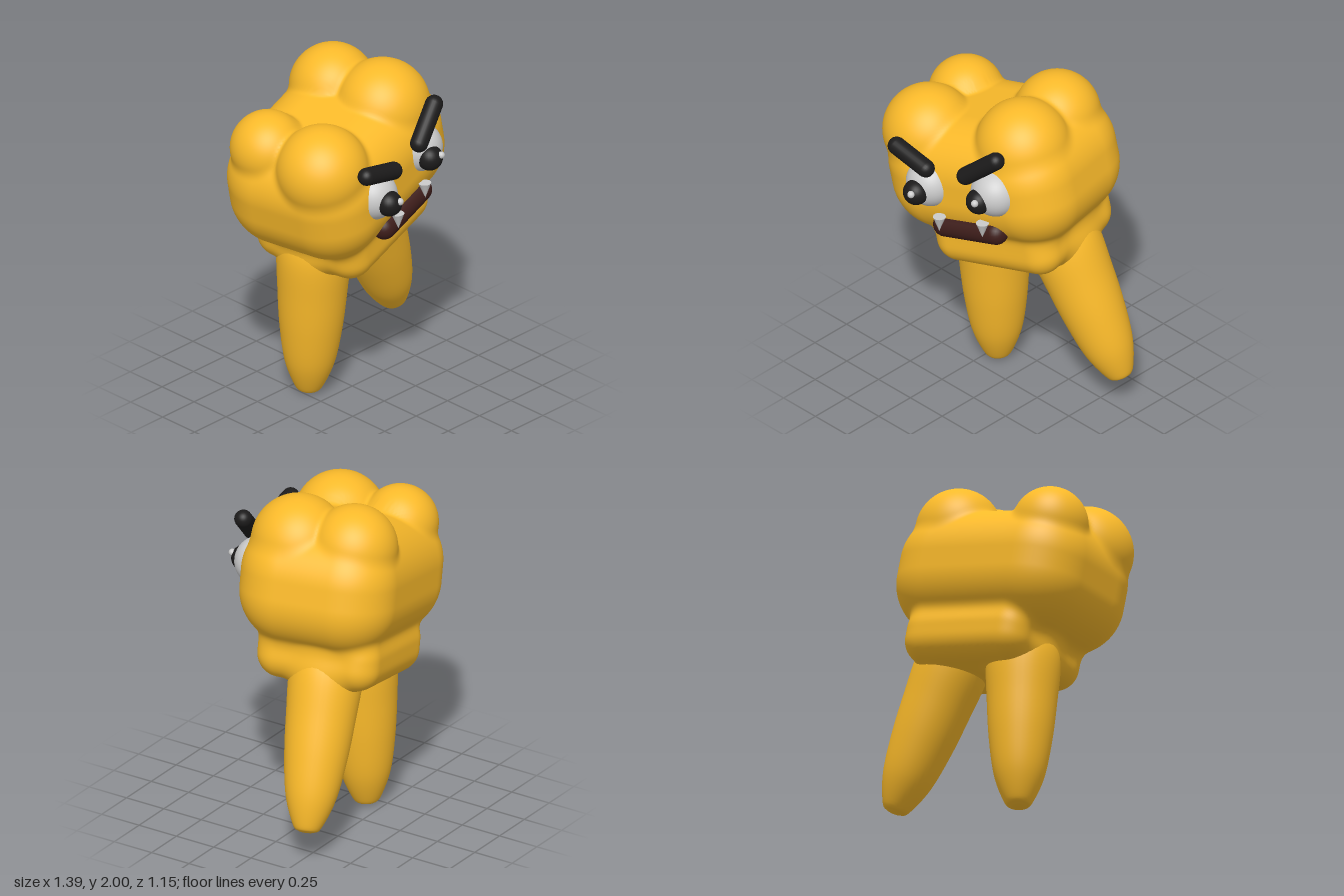
import * as THREE from 'three';
import { mergeVertices } from 'three/addons/utils/BufferGeometryUtils.js';

const V = (x, y, z) => new THREE.Vector3(x, y, z);
const mat = (color) => new THREE.MeshStandardMaterial({ color });
const yellow = mat(0xfaba2a), black = mat(0x1c1b1b), white = mat(0xcccccc), maroon = mat(0x3d1d1a);
const UP = V(0, 1, 0), ZERO = V(0, 0, 0);

// The creature leans to one side and turns a little
const TILT = new THREE.Quaternion().setFromEuler(new THREE.Euler(0, 0.18, 0.22, 'YZX'));
const UNTILT = TILT.clone().invert();

// Signed distances for the soft, fused body
const p = V(), q = V();
function roundedBox(point, center, half, r) {
  p.copy(point).sub(center).applyQuaternion(UNTILT);
  q.set(Math.abs(p.x) - half.x + r, Math.abs(p.y) - half.y + r, Math.abs(p.z) - half.z + r);
  const inside = Math.min(Math.max(q.x, q.y, q.z), 0);
  return q.max(ZERO).length() + inside - r;
}
function blend(a, b, k) {
  const h = Math.max(k - Math.abs(a - b), 0) / k;
  return Math.min(a, b) - h * h * k * 0.25;
}

const BODY = V(-0.07, 1.445, -0.06), BODY_HALF = V(0.605, 0.355, 0.46);
const GUM = V(0.03, 1.06, -0.11), GUM_HALF = V(0.41, 0.165, 0.365);
const CUSPS = [
  [V(-0.42, 1.6, 0.18), 0.262], [V(-0.485, 1.635, -0.18), 0.215],
  [V(0.19, 1.73, 0.05), 0.27], [V(0.13, 1.755, -0.28), 0.245],
];
// Leg name, tip and top
const LEGS = [
  ['rightLeg', V(-0.2, 0, -0.145), V(-0.2, 1.17, -0.09)],
  ['leftLeg', V(0.63, 0.185, -0.29), V(0.18, 1.22, -0.16)],
];
// Short stubs that fuse the leg tops into the body
const STUBS = LEGS.map(([, tip, top]) =>
  new THREE.Line3(top.clone().lerp(tip, 0.02), top.clone().lerp(tip, 0.2)));

function bodyDistance(point) {
  let d = roundedBox(point, BODY, BODY_HALF, 0.3);
  d = blend(d, roundedBox(point, GUM, GUM_HALF, 0.135), 0.06);
  for (const [c, r] of CUSPS) d = blend(d, point.distanceTo(c) - r, 0.025);
  for (const s of STUBS) d = blend(d, s.closestPointToPoint(point, true, p).distanceTo(point) - 0.19, 0.07);
  return d;
}

// Shrink a sphere inward until every vertex meets the fused surface
function bodyGeometry() {
  let g = new THREE.IcosahedronGeometry(1, 50);
  g.deleteAttribute('normal');
  g.deleteAttribute('uv');
  g = mergeVertices(g, 1e-5);
  const pos = g.attributes.position, dir = V(), at = V();
  for (let i = 0; i < pos.count; i++) {
    dir.fromBufferAttribute(pos, i).normalize();
    let t = 1.3;
    for (let n = 0; n < 90; n++) {
      const d = bodyDistance(at.copy(BODY).addScaledVector(dir, t));
      t -= d;
      if (d < 0.0004) break;
    }
    at.copy(BODY).addScaledVector(dir, t);
    pos.setXYZ(i, at.x, at.y, at.z);
  }
  g.computeVertexNormals();
  return g;
}

export function createModel() {
  const group = new THREE.Group();
  const add = (name, geometry, material, position) => {
    const m = new THREE.Mesh(geometry, material);
    m.name = name;
    if (position) m.position.copy(position);
    group.add(m);
    return m;
  };
  // Place a mesh that runs along y so that it points along dir
  const aim = (mesh, dir) => mesh.quaternion.setFromUnitVectors(UP, dir.clone().normalize());
  const capsule = (name, a, b, r, material) => {
    const d = b.clone().sub(a);
    const m = add(name, new THREE.CapsuleGeometry(r, d.length(), 8, 24), material, a.clone().lerp(b, 0.5));
    aim(m, d);
  };

  add('body', bodyGeometry(), yellow);

  // Root legs, tapering to blunt tips
  const profile = new THREE.SplineCurve([
    [0, 0], [0.045, 0.007], [0.082, 0.04], [0.142, 0.2], [0.177, 0.42],
    [0.196, 0.65], [0.208, 0.9], [0.17, 1.06], [0.1, 1.14], [0, 1.17],
  ].map(([r, y]) => new THREE.Vector2(r, y))).getPoints(60);
  profile.forEach((v) => { v.x = Math.max(v.x, 0); });
  const legGeometry = new THREE.LatheGeometry(profile, 40);
  for (const [name, tip, top] of LEGS) aim(add(name, legGeometry, yellow, tip), top.clone().sub(tip));

  // Eyes: white, pupil and glint
  const eyes = [
    ['right', V(-0.215, 1.44, 0.37), V(-0.21, 1.43, 0.495), V(-0.187, 1.455, 0.558)],
    ['left', V(0.22, 1.55, 0.295), V(0.2, 1.53, 0.41), V(0.228, 1.558, 0.472)],
  ];
  for (const [side, eye, pupil, glint] of eyes) {
    add(side + 'Eye', new THREE.SphereGeometry(0.142, 40, 28), white, eye);
    add(side + 'Pupil', new THREE.SphereGeometry(0.074, 28, 20), black, pupil);
    add(side + 'Glint', new THREE.SphereGeometry(0.021, 16, 12), white, glint);
  }

  // Angry brows
  capsule('rightBrow', V(-0.375, 1.657, 0.482), V(-0.155, 1.608, 0.474), 0.051, black);
  capsule('leftBrow', V(0.105, 1.66, 0.42), V(0.283, 1.82, 0.362), 0.051, black);

  // Mouth with two fangs
  capsule('mouth', V(-0.112, 1.19, 0.36), V(0.228, 1.275, 0.303), 0.07, maroon);
  for (const [name, at] of [['rightFang', V(-0.082, 1.248, 0.44)], ['leftFang', V(0.195, 1.312, 0.378)]]) {
    aim(add(name, new THREE.ConeGeometry(0.037, 0.095, 20), white, at), V(0.02, -1, 0.03));
  }

  return group;
}
